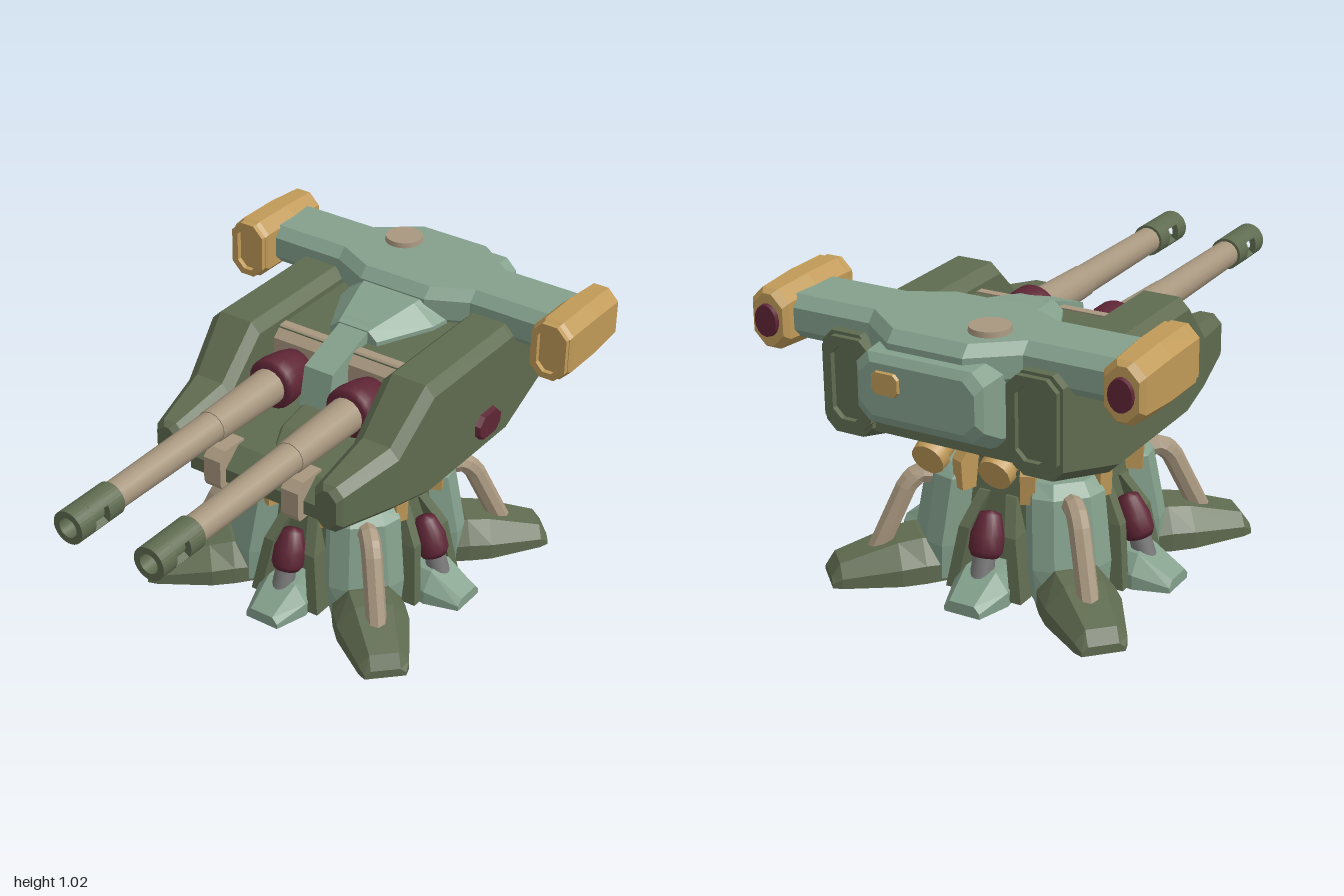
import * as THREE from 'three';

const DARK = 0x5f6b50, LIGHT = 0x84a08c, GOLD = 0xc09a58, TAN = 0xa8977f, RED = 0x5e2535, GREY = 0x777777;

function add(parent, name, geo, color, flat = true) {
  const mat = new THREE.MeshStandardMaterial({ color, flatShading: flat });
  const m = new THREE.Mesh(geo, mat);
  m.name = name;
  parent.add(m);
  return m;
}

// Closed solid through convex rings of equal point count, wound outwards
function loft(rings) {
  const tris = [], n = rings[0].length;
  for (let i = 0; i + 1 < rings.length; i++)
    for (let j = 0; j < n; j++) {
      const k = (j + 1) % n, a = rings[i], b = rings[i + 1];
      tris.push([a[j], a[k], b[k]], [a[j], b[k], b[j]]);
    }
  const first = rings[0], last = rings[rings.length - 1];
  for (let j = 1; j < n - 1; j++) {
    tris.push([first[0], first[j + 1], first[j]], [last[0], last[j], last[j + 1]]);
  }
  const v = tris.map(t => t.map(p => new THREE.Vector3(...p)));
  const volume = v.reduce((s, [a, b, c]) => s + a.dot(b.clone().cross(c)), 0);
  if (volume < 0) v.forEach(t => t.reverse());
  return new THREE.BufferGeometry().setFromPoints(v.flat()).computeNormalsSafe?.() ?? finish(v.flat());
}
function finish(points) {
  const g = new THREE.BufferGeometry().setFromPoints(points);
  g.computeVertexNormals();
  return g;
}

// Chamfered rectangle as eight [a, b] corners
const oct = (a0, a1, b0, b1, c) => [
  [a0 + c, b0], [a1 - c, b0], [a1, b0 + c], [a1, b1 - c],
  [a1 - c, b1], [a0 + c, b1], [a0, b1 - c], [a0, b0 + c]];
const alongZ = (z, a0, a1, b0, b1, c) => oct(a0, a1, b0, b1, c).map(([x, y]) => [x, y, z]);
const alongX = (x, a0, a1, b0, b1, c) => oct(a0, a1, b0, b1, c).map(([z, y]) => [x, y, z]);

// Side profile of [z, y] points given a width between x0 and x1
const slab = (pts, x0, x1) => loft([x0, x1].map(x => pts.map(([z, y]) => [x, y, z])));

// Cylinder lying between two points
function rod(parent, name, a, b, r0, r1, color, sides = 16) {
  const A = new THREE.Vector3(...a), B = new THREE.Vector3(...b), d = B.clone().sub(A);
  const m = add(parent, name, new THREE.CylinderGeometry(r1, r0, d.length(), sides), color, sides < 10);
  m.position.copy(A).add(B).multiplyScalar(0.5);
  m.quaternion.setFromUnitVectors(new THREE.Vector3(0, 1, 0), d.normalize());
  return m;
}

// Outline frame with an opening, extruded along z
function frame(outer, inner, depth) {
  const s = new THREE.Shape(outer.map(p => new THREE.Vector2(...p)));
  s.holes.push(new THREE.Path(inner.map(p => new THREE.Vector2(...p))));
  return new THREE.ExtrudeGeometry(s, { depth, bevelEnabled: false });
}

// Lathe with its axis along z, profile as [radius, z]
const turned = (pts, sides = 24) =>
  new THREE.LatheGeometry(pts.map(p => new THREE.Vector2(...p)), sides).rotateX(Math.PI / 2);

function buildBase() {
  const base = new THREE.Group();
  base.name = 'base';
  const core = add(base, 'core', new THREE.CylinderGeometry(0.28, 0.33, 0.4, 8).rotateY(Math.PI / 8), DARK);
  core.position.y = 0.23;
  add(base, 'turretNeck', new THREE.CylinderGeometry(0.29, 0.27, 0.08, 16), DARK).position.y = 0.46;
  add(base, 'turretRing', new THREE.CylinderGeometry(0.33, 0.33, 0.02, 24), DARK).position.y = 0.505;

  for (let i = 0; i < 4; i++) {
    // Diagonal leg: armoured fender, long foot and bent strut, +z pointing outwards
    const leg = new THREE.Group();
    leg.name = 'leg';
    leg.rotation.y = Math.PI / 4 + i * Math.PI / 2;
    base.add(leg);
    const fender = (y, w, r, tip) => [[-w, y, 0.15], [w, y, 0.15], [w, y, r], [tip, y, r + 0.04], [-tip, y, r + 0.04], [-w, y, r]];
    add(leg, 'legFender', loft([fender(0.01, 0.12, 0.37, 0.07), fender(0.13, 0.13, 0.37, 0.07),
      fender(0.36, 0.12, 0.33, 0.06), fender(0.4, 0.1, 0.29, 0.05)]), LIGHT);
    const foot = (r, w, h, top) => [[-w, 0, r], [w, 0, r], [w, h * 0.45, r], [top, h, r], [-top, h, r], [-w, h * 0.45, r]];
    add(leg, 'foot', loft([foot(0.2, 0.1, 0.1, 0.06), foot(0.42, 0.125, 0.14, 0.07),
      foot(0.5, 0.125, 0.13, 0.065), foot(0.69, 0.085, 0.075, 0.05), foot(0.72, 0.07, 0.03, 0.05)]), DARK);
    const path = new THREE.CurvePath();
    const bend = [[0.33, 0.335], [0.41, 0.345], [0.45, 0.31], [0.56, 0.08]].map(([r, y]) => new THREE.Vector3(0, y, r));
    for (let j = 0; j < 3; j++) path.add(new THREE.LineCurve3(bend[j], bend[j + 1]));
    add(leg, 'strut', new THREE.TubeGeometry(path, 16, 0.036, 8), TAN);

    // Stabiliser between the legs: pad, piston and alcove ribs
    const side = new THREE.Group();
    side.name = 'stabiliser';
    side.rotation.y = i * Math.PI / 2;
    base.add(side);
    const pad = (r, w, h, top) => [[-w, 0, r], [w, 0, r], [w, h * 0.45, r], [top, h, r], [-top, h, r], [-w, h * 0.45, r]];
    add(side, 'pad', loft([pad(0.27, 0.08, 0.11, 0.05), pad(0.39, 0.1, 0.11, 0.055), pad(0.51, 0.065, 0.04, 0.045)]), LIGHT);
    rod(side, 'pistonRod', [0, 0.07, 0.39], [0, 0.17, 0.36], 0.04, 0.035, GREY);
    const sleeve = add(side, 'pistonSleeve', new THREE.LatheGeometry(
      [[0, 0], [0.045, 0], [0.056, 0.02], [0.056, 0.07], [0.035, 0.14], [0, 0.15]].map(p => new THREE.Vector2(...p)), 16), RED, false);
    sleeve.position.set(0, 0.145, 0.365);
    sleeve.rotation.x = -0.3;
    for (const s of [-1, 1]) {
      const rib = (y, x, r) => [[s * x, y, 0.2], [s * (x + 0.04), y, 0.2], [s * (x + 0.04), y, r], [s * x, y, r]];
      add(side, 'alcoveRib', loft([rib(0.01, 0.1, 0.38), rib(0.22, 0.065, 0.35), rib(0.33, 0.03, 0.28)]), DARK);
    }
  }

  // Clamps around the neck
  for (let i = 0; i < 8; i++) {
    const clamp = add(base, 'neckClamp', slab(
      [[0.24, 0.51], [0.28, 0.51], [0.34, 0.43], [0.335, 0.33], [0.28, 0.33], [0.26, 0.42]], -0.024, 0.024), GOLD);
    clamp.rotation.y = Math.PI / 8 + i * Math.PI / 4;
  }
  base.position.z = -0.26;
  return base;
}

function buildGun(x) {
  const gun = new THREE.Group();
  gun.name = 'gun';
  gun.position.set(x, 0.757, 0);
  add(gun, 'collar', turned([[0, -0.2], [0.065, -0.18], [0.08, -0.13], [0.09, -0.07], [0.09, -0.03], [0.08, -0.015], [0.05, -0.015]]).scale(1, 1, 1), RED, false);
  rod(gun, 'barrelSleeve', [0, 0, -0.1], [0, 0, 0.3], 0.066, 0.056, TAN);
  rod(gun, 'barrel', [0, 0, 0.28], [0, 0, 0.81], 0.053, 0.048, TAN);
  // Slotted muzzle: two rings joined by upper and lower arcs
  const ring = new THREE.Shape().absarc(0, 0, 0.057, 0, Math.PI * 2);
  ring.holes.push(new THREE.Path().absarc(0, 0, 0.034, 0, Math.PI * 2));
  const arc = new THREE.Shape().absarc(0, 0, 0.057, 0.56, Math.PI - 0.56);
  arc.absarc(0, 0, 0.034, Math.PI - 0.56, 0.56, true);
  const piece = (shape, z, depth) => add(gun, 'muzzle',
    new THREE.ExtrudeGeometry(shape, { depth, bevelEnabled: false, curveSegments: 16 }).translate(0, 0, z), DARK);
  piece(ring, 0.8, 0.07);
  piece(ring, 0.935, 0.065);
  piece(arc, 0.87, 0.065);
  piece(arc, 0.87, 0.065).rotation.z = Math.PI;
  return gun;
}

function buildTurret() {
  const t = new THREE.Group();
  t.name = 'turret';

  // Centre hull: rear block, front shelf and tan gun mantlet
  add(t, 'rearHull', slab([[-0.2, 0.51], [-0.2, 0.87], [-0.84, 0.87], [-0.84, 0.61], [-0.56, 0.51]], -0.27, 0.27), DARK);
  add(t, 'frontShelf', slab([[-0.22, 0.51], [0.2, 0.51], [0.27, 0.54], [0.27, 0.59], [0.2, 0.65], [-0.22, 0.66]], -0.27, 0.27), DARK);
  add(t, 'mantlet', slab([[-0.22, 0.65], [-0.17, 0.65], [-0.17, 0.84], [-0.21, 0.875], [-0.24, 0.875]], -0.26, 0.26), TAN);

  // Spine and hood running between the guns
  add(t, 'spine', slab([[-0.45, 0.66], [-0.06, 0.66], [-0.05, 0.7], [-0.08, 0.84], [-0.32, 0.925], [-0.45, 0.93]], -0.057, 0.057), LIGHT);
  add(t, 'spineNose', loft([alongZ(-0.1, -0.05, 0.05, 0.6, 0.72, 0.01), alongZ(0.07, -0.045, 0.045, 0.6, 0.69, 0.01),
    alongZ(0.14, -0.02, 0.02, 0.6, 0.65, 0.005)]), DARK);
  const hood = (z, w, top, h) => [[-w, 0.86, z], [w, 0.86, z], [w, 0.885, z], [top, h, z], [-top, h, z], [-w, 0.885, z]];
  add(t, 'hood', loft([hood(-0.55, 0.2, 0.12, 0.955), hood(-0.48, 0.19, 0.11, 0.95), hood(-0.28, 0.095, 0.06, 0.915)]), LIGHT);

  // Crossbar with widened middle, rear housing and hatch
  add(t, 'crossbar', loft([
    [-0.56, -0.83, -0.58, 0.85], [-0.27, -0.83, -0.58, 0.85], [-0.13, -0.94, -0.51, 0.85],
    [0.13, -0.94, -0.51, 0.85], [0.27, -0.83, -0.58, 0.85], [0.56, -0.83, -0.58, 0.85],
  ].map(([x, z0, z1, y]) => alongX(x, z0, z1, y, 0.992, 0.035))), LIGHT);
  const housing = (z, w, y0, y1) => alongZ(z, -w, w, y0, y1, 0.04);
  add(t, 'rearHousing', loft([housing(-0.8, 0.225, 0.64, 0.94), housing(-0.88, 0.225, 0.66, 0.94),
    housing(-0.97, 0.22, 0.71, 0.935), housing(-0.99, 0.2, 0.74, 0.91)]), LIGHT);
  add(t, 'rearPlate', loft([alongZ(-0.98, 0.055, 0.155, 0.81, 0.89, 0.015), alongZ(-1, 0.06, 0.15, 0.815, 0.885, 0.015)]), GOLD);
  rod(t, 'topHatch', [-0.13, 0.97, -0.78], [-0.13, 1.01, -0.78], 0.07, 0.065, TAN, 20);

  for (const s of [-1, 1]) {
    // Side armour, tapering to the front
    const ring = (z, x0, x1, y0, y1, c) => alongZ(z, x0, x1, y0, y1, c).map(([x, y, zz]) => [s * x, y, zz]);
    add(t, 'sideArmour', loft([ring(-0.86, 0.25, 0.42, 0.59, 0.925, 0.035), ring(-0.56, 0.25, 0.447, 0.505, 0.925, 0.035),
      ring(-0.09, 0.25, 0.447, 0.505, 0.925, 0.035), ring(0.075, 0.25, 0.425, 0.525, 0.765, 0.035),
      ring(0.31, 0.265, 0.375, 0.555, 0.725, 0.03), ring(0.33, 0.28, 0.36, 0.57, 0.71, 0.03)]), DARK);
    const rim = add(t, 'armourRearRim', frame(oct(-0.085, 0.085, -0.15, 0.15, 0.035), oct(-0.055, 0.055, -0.12, 0.12, 0.03), 0.03), DARK);
    rim.position.set(s * 0.325, 0.765, -0.88);

    // Guns and the brackets below them
    t.add(buildGun(s * 0.157));
    add(t, 'gunBracket', slab([[0.17, 0.52], [0.29, 0.52], [0.3, 0.54], [0.3, 0.63], [0.27, 0.66], [0.17, 0.66]],
      s * 0.157 - 0.034, s * 0.157 + 0.034), TAN);

    // End pods with recessed front and red rear lens
    const pod = new THREE.Group();
    pod.name = 'endPod';
    pod.position.set(s * 0.617, 0.918, 0);
    t.add(pod);
    const box = (z, w, h) => alongZ(z, -w, w, -h, h, 0.04);
    add(pod, 'podBody', loft([box(-0.87, 0.055, 0.085), box(-0.85, 0.068, 0.098), box(-0.7, 0.073, 0.107), box(-0.54, 0.073, 0.107), box(-0.525, 0.068, 0.1)]), GOLD);
    add(pod, 'podRim', frame(oct(-0.066, 0.066, -0.1, 0.1, 0.038), oct(-0.042, 0.042, -0.078, 0.078, 0.026), 0.02), GOLD).position.z = -0.527;
    const lens = rod(pod, 'podLens', [0, 0, -0.84], [0, 0, -0.885], 0.045, 0.04, RED, 16);
    lens.scale.z = 1.3;

    // Exhausts under the rear
    rod(t, 'exhaust', [s * 0.12, 0.58, -0.58], [s * 0.12, 0.515, -0.74], 0.052, 0.052, GOLD);
    rod(t, 'exhaustCap', [s * 0.12, 0.52, -0.725], [s * 0.12, 0.508, -0.757], 0.06, 0.056, GOLD);
  }

  // Red side lamps, one low on the left and one high on the right
  const lamp = (x0, x1, y0, y1) => loft([alongX(x0, -0.5, -0.35, y0, y1, 0.03), alongX(x1, -0.49, -0.36, y0 + 0.01, y1 - 0.01, 0.028)]);
  add(t, 'leftLamp', lamp(0.43, 0.465, 0.575, 0.68), RED);
  add(t, 'rightLamp', lamp(-0.43, -0.465, 0.7, 0.88), RED);
  return t;
}

export function createModel() {
  const model = new THREE.Group();
  model.name = 'gunTurret';
  model.add(buildBase(), buildTurret());
  return model;
}
